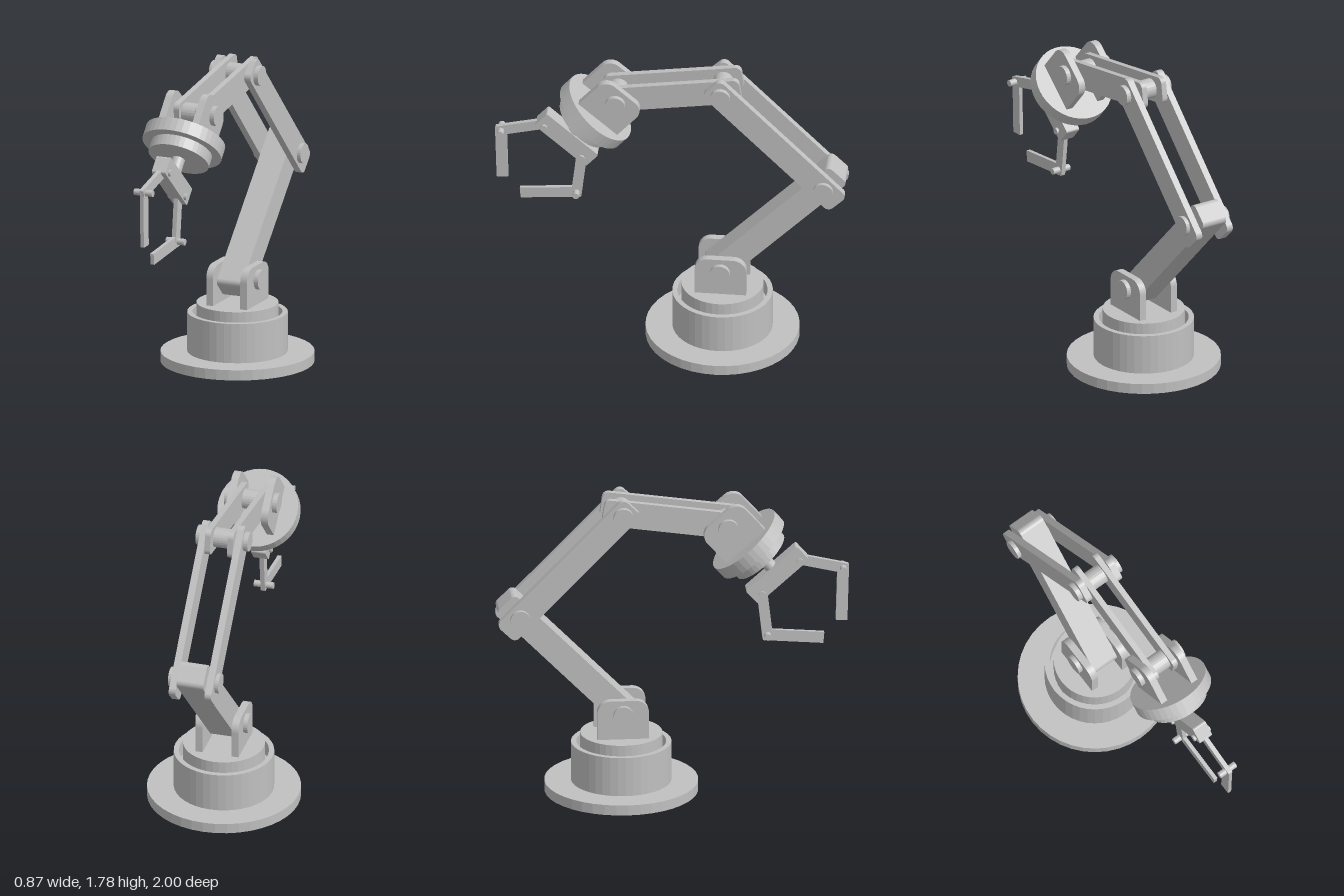
import * as THREE from 'three';

const grey = new THREE.MeshStandardMaterial({ color: 0xc0c0c0, flatShading: true });
grey.name = 'machine grey';

function add(parent, name, geometry) {
  const mesh = new THREE.Mesh(geometry, grey);
  mesh.name = name;
  parent.add(mesh);
  return mesh;
}

// Rounded bar in the side plane from point a to b ([z, y]), spanning x0..x1.
// startExt and endExt lengthen it past the two points.
function bar(a, b, x0, x1, half, round, startExt, endExt) {
  const dz = b[0] - a[0], dy = b[1] - a[1];
  const l = -startExt, r = Math.hypot(dz, dy) + endExt, q = Math.PI / 2;
  const s = new THREE.Shape();
  s.absarc(r - round, -half + round, round, -q, 0);
  s.absarc(r - round, half - round, round, 0, q);
  s.absarc(l + round, half - round, round, q, 2 * q);
  s.absarc(l + round, -half + round, round, 2 * q, 3 * q);
  s.closePath();
  const g = new THREE.ExtrudeGeometry(s, { depth: x1 - x0, bevelEnabled: false, curveSegments: 6 });
  g.rotateZ(Math.atan2(dy, dz)).translate(a[0], a[1], -x1);
  return g.rotateY(-Math.PI / 2);
}

// The same bar on both sides of the centre line
function pair(parent, name, a, b, x0, x1, ...rest) {
  add(parent, name + 'Left', bar(a, b, x0, x1, ...rest));
  add(parent, name + 'Right', bar(a, b, -x1, -x0, ...rest));
}

// Hinge pin across the arm at p = [z, y]
function pin(parent, name, p, radius, halfLength) {
  const g = new THREE.CylinderGeometry(radius, radius, halfLength * 2, 24);
  add(parent, name, g.rotateZ(Math.PI / 2).translate(0, p[1], p[0]));
}

// Upright disc between two heights
function disc(parent, name, radius, y0, y1, z = 0) {
  const g = new THREE.CylinderGeometry(radius, radius, y1 - y0, 40);
  add(parent, name, g.translate(0, (y0 + y1) / 2, z));
}

export function createModel() {
  const model = new THREE.Group();
  model.name = 'robotArm';
  const root = [-0.29, 0.49], elbow = [-0.876, 1.087];
  const shoulder = [-0.29, 1.687], wrist = [0.308, 1.599];

  // Base: foot plate, hollow housing and turntable
  disc(model, 'footPlate', 0.437, 0, 0.06, -0.29);
  const profile = [[0.285, 0.055], [0.285, 0.29], [0.255, 0.29], [0.255, 0.2], [0, 0.2]];
  add(model, 'housing', new THREE.LatheGeometry(
    profile.map(([x, y]) => new THREE.Vector2(x, y)), 40)).position.z = -0.29;
  disc(model, 'turntable', 0.233, 0.19, 0.345, -0.29);
  pair(model, 'baseBracket', [-0.29, 0.25], root, 0.085, 0.127, 0.147, 0.075, 0, 0.085);

  // Arm segments
  add(model, 'lowerArm', bar(root, elbow, -0.079, 0.079, 0.075, 0.03, 0.093, 0.115));
  pair(model, 'middleArm', elbow, shoulder, 0.085, 0.125, 0.075, 0.035, 0.118, 0.078);
  pair(model, 'foreArm', shoulder, wrist, 0.05, 0.083, 0.077, 0.035, 0.11, 0.08);
  pin(model, 'rootPin', root, 0.057, 0.153);
  pin(model, 'elbowPin', elbow, 0.057, 0.148);
  pin(model, 'shoulderPin', shoulder, 0.057, 0.153);
  pin(model, 'wristPin', wrist, 0.057, 0.155);

  // Hand, built pointing down from the wrist pin and then tilted forward
  const hand = new THREE.Group();
  hand.name = 'hand';
  hand.position.set(0, wrist[1], wrist[0]);
  hand.rotation.x = -0.725;
  model.add(hand);
  pair(hand, 'wristBracket', [0, -0.22], [0, 0], 0.085, 0.127, 0.147, 0.07, 0, 0.085);
  disc(hand, 'wristFlange', 0.233, -0.23, -0.15);
  disc(hand, 'wristCollar', 0.178, -0.295, -0.225);
  disc(hand, 'gripperShaft', 0.037, -0.4, -0.29);
  add(hand, 'gripperBlock', bar([0.195, -0.433], [-0.195, -0.433], -0.043, 0.043, 0.054, 0.012, 0, 0));

  // Jaws: [pivot, knuckle, fingertip]
  const jaws = {
    upper: [[0.723, 1.355], [0.972, 1.296], [0.963, 0.98]],
    lower: [[0.511, 1.163], [0.541, 0.905], [0.862, 0.878]],
  };
  for (const [side, [pivot, knuckle, tip]] of Object.entries(jaws)) {
    add(model, side + 'JawLink', bar(pivot, knuckle, -0.013, 0.013, 0.03, 0.012, 0.03, 0.03));
    add(model, side + 'Finger', bar(knuckle, tip, -0.011, 0.011, 0.033, 0.003, 0.02, 0));
    pin(model, side + 'JawPin', pivot, 0.019, 0.057);
    pin(model, side + 'KnucklePin', knuckle, 0.019, 0.057);
  }
  return model;
}
